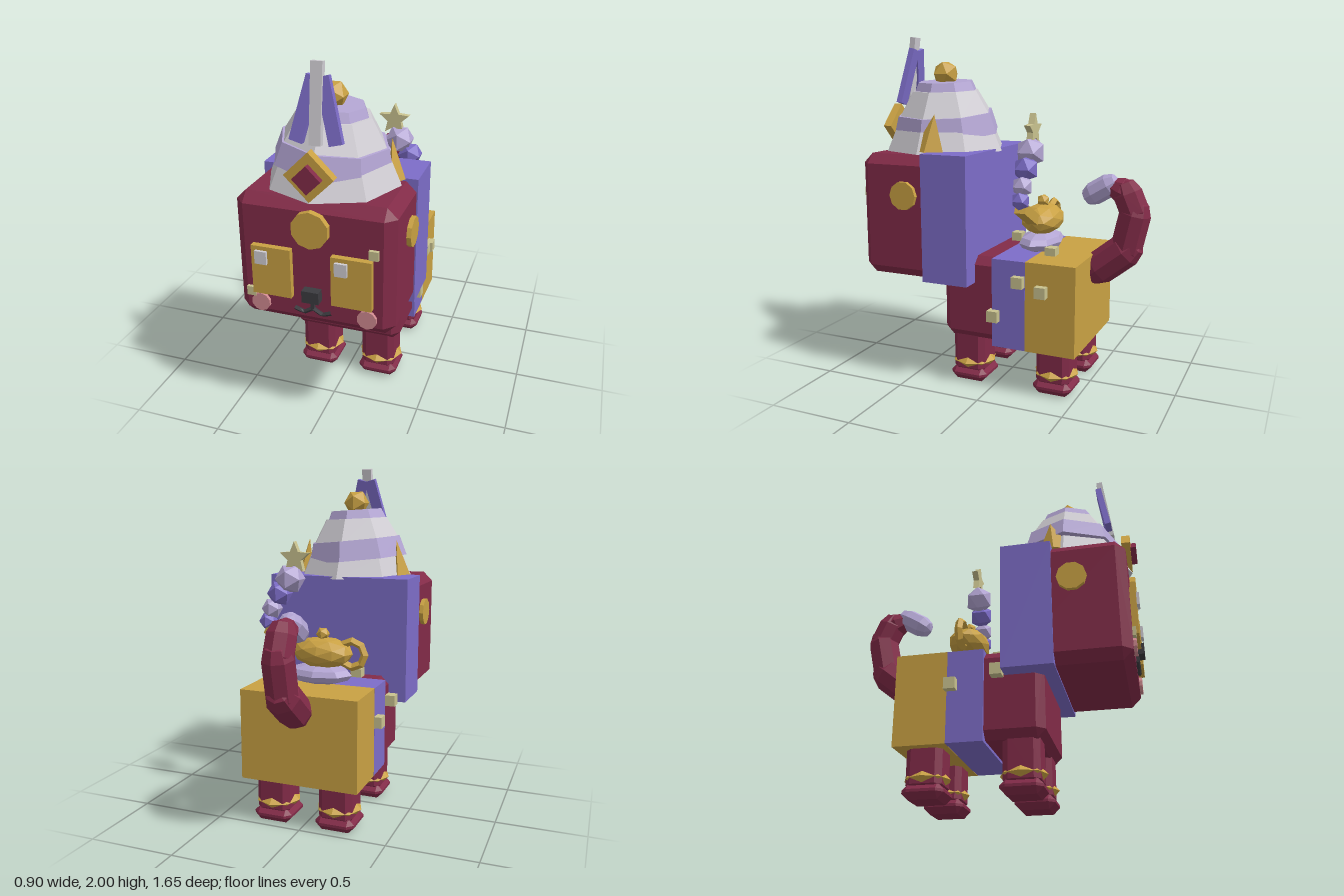
import * as THREE from 'three';
import { ConvexGeometry } from 'three/addons/geometries/ConvexGeometry.js';

const mat = (name, color) => {
  const m = new THREE.MeshStandardMaterial({ color });
  m.name = name;
  return m;
};

// Split shared corners so every facet is flat
function facet(geo) {
  const g = geo.index ? geo.toNonIndexed() : geo;
  g.computeVertexNormals();
  return g;
}

// Box with every edge cut off by c
function chamferBox(w, h, d, c) {
  const pts = [], s = [-1, 1];
  for (const i of s) for (const j of s) for (const k of s) {
    const x = w / 2, y = h / 2, z = d / 2;
    pts.push(
      new THREE.Vector3(i * x, j * (y - c), k * (z - c)),
      new THREE.Vector3(i * (x - c), j * y, k * (z - c)),
      new THREE.Vector3(i * (x - c), j * (y - c), k * z));
  }
  return new ConvexGeometry(pts);
}

export function createModel() {
  const root = new THREE.Group();
  root.name = 'festiveCat';
  const wine = mat('wine', 0x822b48), purple = mat('purple', 0x7d6dc8), gold = mat('gold', 0xc9a143);
  const lavender = mat('lavender', 0xb3a5d3), white = mat('paleGrey', 0xd0cdd3), khaki = mat('khaki', 0xc9c28f);
  const pink = mat('pink', 0xd08a90), dark = mat('charcoal', 0x3c3b40);

  const add = (name, geo, material, x, y, z, rx = 0, ry = 0, rz = 0) => {
    const m = new THREE.Mesh(facet(geo), material);
    m.name = name;
    m.position.set(x, y, z);
    m.rotation.set(rx, ry, rz);
    root.add(m);
    return m;
  };
  const box = (w, h, d) => new THREE.BoxGeometry(w, h, d);
  const disc = (r, t) => new THREE.CylinderGeometry(r, r, t, 10);
  const ico = (r, detail = 0) => new THREE.IcosahedronGeometry(r, detail);

  // Body with its two coat patches
  add('body', chamferBox(0.655, 0.49, 0.78, 0.045), wine, 0, 0.53, -0.09);
  add('saddlePatch', box(0.685, 0.512, 0.2), purple, 0, 0.525, -0.12);
  add('rumpPatch', box(0.684, 0.514, 0.29), gold, 0, 0.525, -0.365);

  // Legs, feet and anklets
  for (const x of [-0.187, 0.187]) for (const z of [0.165, -0.355]) {
    add('leg', chamferBox(0.198, 0.3, 0.198, 0.032), wine, x, 0.2, z);
    add('foot', chamferBox(0.228, 0.085, 0.228, 0.035), wine, x, 0.045, z);
    add('anklet', new THREE.TorusGeometry(0.093, 0.036, 4, 8), gold, x, 0.117, z, Math.PI / 2);
  }

  // Head with the hood patch around its back
  add('head', chamferBox(0.85, 0.705, 0.665, 0.055), wine, 0, 0.987, 0.443);
  add('hoodPatch', box(0.865, 0.73, 0.28), purple, 0, 0.99, 0.232);

  // Face
  for (const s of [-1, 1]) {
    add('eye', box(0.213, 0.275, 0.035), gold, s * 0.214, 0.938, 0.792);
    add('eyeGlint', box(0.065, 0.072, 0.03), white, -0.05 + s * 0.214, 1.017, 0.81);
    add('cheek', disc(0.052, 0.03), pink, s * 0.29, 0.737, 0.778, Math.PI / 2);
    add('sideMedallion', disc(0.082, 0.05), gold, s * 0.425, 1.115, 0.482, 0, 0, Math.PI / 2);
    const lip = new THREE.CurvePath();
    const p = [[0, 0.75], [s * 0.05, 0.72], [s * 0.1, 0.738]].map(([x, y]) => new THREE.Vector3(x, y, 0.785));
    lip.add(new THREE.LineCurve3(p[0], p[1]));
    lip.add(new THREE.LineCurve3(p[1], p[2]));
    add('mouth', new THREE.TubeGeometry(lip, 4, 0.012, 5), dark, 0, 0, 0);
  }
  add('nose', box(0.092, 0.066, 0.06), dark, 0, 0.832, 0.795);
  add('mouthStem', box(0.018, 0.07, 0.02), dark, 0, 0.775, 0.785);
  add('foreheadDisc', disc(0.1, 0.035), gold, 0, 1.2, 0.792, Math.PI / 2);
  add('faceSpeck', box(0.05, 0.05, 0.04), khaki, 0.325, 1.108, 0.775);
  add('faceSpeck', box(0.05, 0.05, 0.04), khaki, -0.34, 0.795, 0.775);

  // Small cubes scattered over the coat
  for (const [x, y, z] of [
    [0.35, 0.455, -0.035], [0.35, 0.668, -0.185], [0.35, 0.627, -0.32], [-0.355, 0.645, 0.055],
    [-0.355, 0.585, -0.195], [-0.155, 0.795, 0.028], [0.135, 0.795, -0.298],
  ]) add('coatCube', box(0.064, 0.064, 0.064), khaki, x, y, z);

  // Wrapped hat: [bottom, top, bottom radius, top radius, tilt, colour]
  const hatZ = 0.435;
  for (const [y0, y1, r0, r1, tilt, m] of [
    [1.34, 1.46, 0.362, 0.31, 0, white],
    [1.44, 1.56, 0.325, 0.29, -0.1, lavender],
    [1.545, 1.69, 0.285, 0.2, -0.05, white],
    [1.655, 1.742, 0.205, 0.165, -0.07, lavender],
  ]) add('hatTier', new THREE.CylinderGeometry(r1, r0, y1 - y0, 8), m, 0, (y0 + y1) / 2, hatZ, 0, 0, tilt);
  add('hatBall', ico(0.08), gold, 0, 1.785, hatZ);

  // Gold ears poking through the hat
  for (const s of [-1, 1]) {
    const ear = add('hatEar', new THREE.ConeGeometry(0.1, 0.22, 4), gold, s * 0.302, 1.455, 0.37, -0.12, 0, s * 0.15);
    ear.scale.x = 0.5;
  }

  // Hat brooch and feathers
  add('brooch', box(0.182, 0.182, 0.05), gold, 0, 1.475, 0.773, 0, 0, Math.PI / 4);
  add('broochGem', box(0.104, 0.104, 0.04), wine, 0, 1.472, 0.81, 0, 0, Math.PI / 4);
  add('centreFeather', box(0.06, 0.4, 0.035), white, 0, 1.8, 0.664, -0.13);
  for (const s of [-1, 1])
    add('sideFeather', box(0.07, 0.33, 0.035), purple, s * 0.063, 1.768, 0.657, -0.15, 0, s * 0.25);

  // Teapot on a cushion
  const potZ = -0.185;
  add('cushion', new THREE.SphereGeometry(1, 8, 6), lavender, 0, 0.83, potZ).scale.set(0.195, 0.06, 0.122);
  add('pot', ico(1, 1), gold, -0.02, 0.955, potZ).scale.set(0.18, 0.09, 0.118);
  add('potKnob', ico(0.04), gold, -0.02, 1.06, potZ);
  add('potSpout', box(0.28, 0.06, 0.063), gold, 0.2, 1.01, potZ, 0, 0, 0.48);
  add('potHandle', new THREE.TorusGeometry(0.075, 0.023, 4, 8), gold, -0.195, 0.955, potZ);

  // Steam rising to a star
  for (const [x, y, r, m] of [
    [0.32, 1.115, 0.055, purple], [0.295, 1.19, 0.062, lavender],
    [0.245, 1.28, 0.075, purple], [0.18, 1.365, 0.088, lavender],
  ]) add('steamPuff', ico(r), m, x, y, potZ);
  const star = new THREE.Shape();
  for (let i = 0; i < 10; i++) {
    const r = i % 2 ? 0.042 : 0.092, a = Math.PI / 2 + i * Math.PI / 5;
    star[i ? 'lineTo' : 'moveTo'](r * Math.cos(a), r * Math.sin(a));
  }
  star.closePath();
  add('star', new THREE.ExtrudeGeometry(star, { depth: 0.036, bevelEnabled: false }), khaki, 0.148, 1.485, potZ - 0.018);

  // Curled tail of faceted capsules between joints: [z, y, radius, colour]
  const joints = [
    [-0.54, 0.70, 0.098, wine], [-0.69, 0.82, 0.09, wine], [-0.737, 1.03, 0.085, wine],
    [-0.69, 1.14, 0.075, wine], [-0.585, 1.18, 0.066, lavender], [-0.495, 1.125, 0.055, lavender],
  ];
  joints.slice(0, -1).forEach(([z, y, r, m], i) => {
    const [z2, y2] = joints[i + 1];
    const len = Math.hypot(z2 - z, y2 - y);
    const end = i === 3 ? 0.35 : 1; // the wine stops short of the pale tip
    const seg = new THREE.CapsuleGeometry(r, len * end, 2, 8);
    add('tailSegment', seg, m, 0, y + (y2 - y) * end / 2, z + (z2 - z) * end / 2, Math.atan2(z2 - z, y2 - y));
  });
  add('tailTip', ico(0.055, 1), lavender, 0, 1.125, -0.495);

  return root;
}
